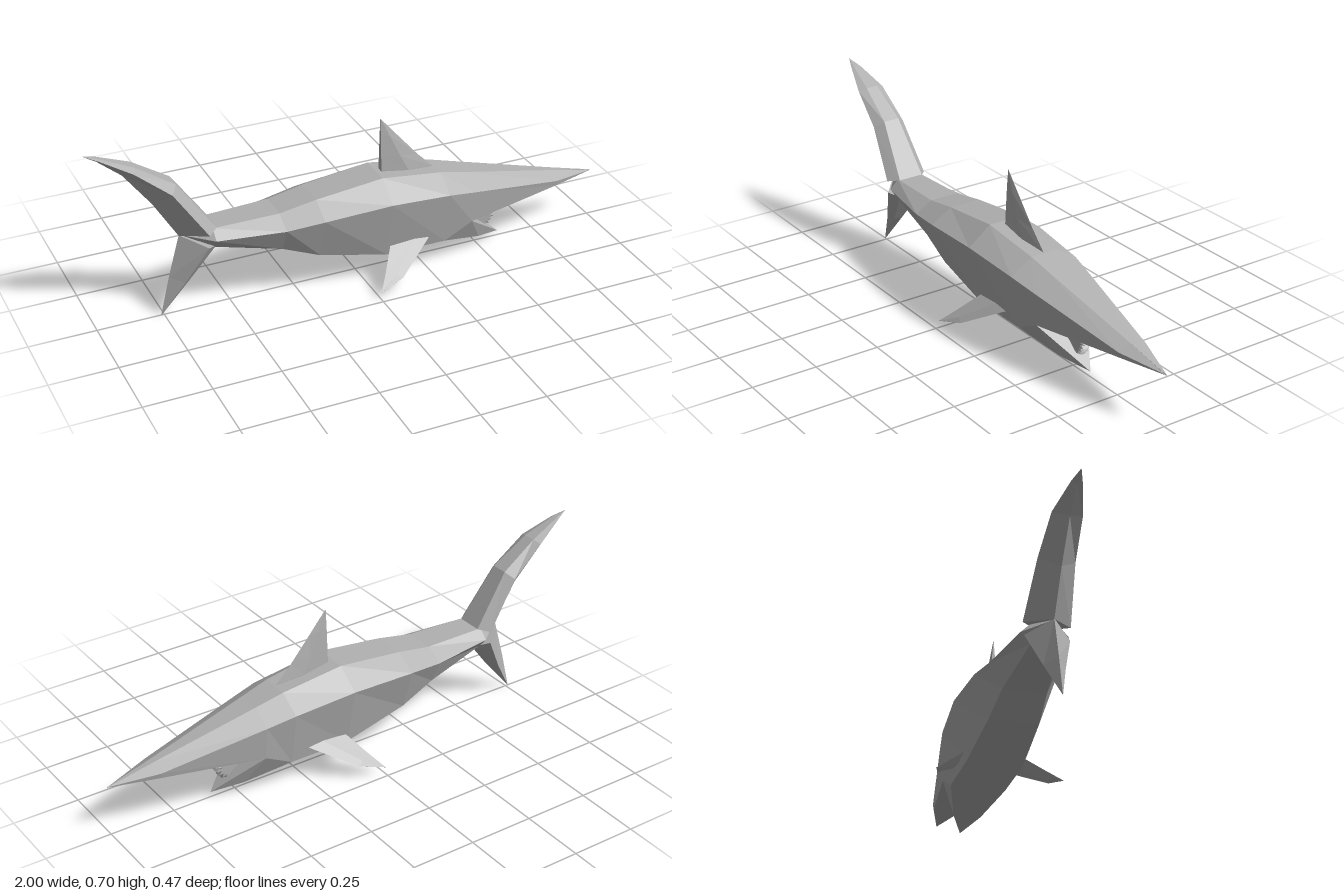
import * as THREE from 'three';
import { ConvexGeometry } from 'three/addons/geometries/ConvexGeometry.js';

// Faceted skin through equal-sized rings of [x, y, z] points, capped at both ends
function loft(rings) {
  const tris = [];
  const n = rings[0].length;
  for (let i = 0; i < rings.length - 1; i++) {
    for (let j = 0; j < n; j++) {
      const k = (j + 1) % n;
      const [a, b, c, d] = [rings[i][j], rings[i][k], rings[i + 1][k], rings[i + 1][j]];
      tris.push([a, b, c], [a, c, d]);
    }
  }
  const last = rings[rings.length - 1];
  for (let j = 1; j < n - 1; j++) {
    tris.push([rings[0][0], rings[0][j + 1], rings[0][j]], [last[0], last[j], last[j + 1]]);
  }
  // Signed volume decides the winding so faces always point outward
  const v = (p) => new THREE.Vector3(...p);
  let volume = 0;
  for (const [a, b, c] of tris) volume += v(a).dot(v(b).cross(v(c)));
  const pos = tris.flatMap(([a, b, c]) => (volume < 0 ? [a, c, b] : [a, b, c]).flat());
  const geo = new THREE.BufferGeometry();
  geo.setAttribute('position', new THREE.Float32BufferAttribute(pos, 3));
  geo.computeVertexNormals();
  return geo;
}

// Mirrors a half ring (first and last points on the centre line) to a full ring
const mirrorRing = (half) => [
  ...half,
  ...half.slice(1, -1).reverse().map(([x, y, z]) => [x, y, -z]),
];

// Tail lobe ring: broad front edge, wide flank, sharp rear edge
function lobeRing([fx, fy, rx, ry, wFront, wSide]) {
  const sx = fx + (rx - fx) * 0.3, sy = fy + (ry - fy) * 0.3;
  return mirrorRing([[fx, fy, 0], [fx, fy, wFront], [sx, sy, wSide], [rx, ry, 0]]);
}

export function createModel() {
  const model = new THREE.Group();
  const skin = new THREE.MeshStandardMaterial({ color: 0xb0b0b0, flatShading: true });
  skin.name = 'grey skin';
  const add = (name, geo) => {
    const mesh = new THREE.Mesh(geo, skin);
    mesh.name = name;
    model.add(mesh);
    return mesh;
  };

  // Body: x, top y, top width, flank y, flank width, belly y, belly width
  const sections = [
    [-0.66, 0.315, 0.005, 0.31, 0.01, 0.305, 0.005],
    [-0.57, 0.34, 0.05, 0.305, 0.085, 0.265, 0.05],
    [-0.32, 0.345, 0.058, 0.305, 0.125, 0.21, 0.08],
    [-0.18, 0.37, 0.062, 0.32, 0.145, 0.155, 0.092],
    [0.08, 0.4, 0.066, 0.332, 0.155, 0.1, 0.105],
    [0.32, 0.365, 0.055, 0.31, 0.14, 0.1, 0.105],
    [0.43, 0.337, 0.046, 0.289, 0.123, 0.16, 0.11],
    [0.82, 0.24, 0.013, 0.215, 0.058, 0.195, 0.055],
    [1, 0.196, 0.001, 0.195, 0.001, 0.194, 0.001],
  ];
  add('body', loft(sections.map(([x, ty, tw, sy, sw, by, bw]) =>
    mirrorRing([[x, ty, 0], [x, ty, tw], [x, sy, sw], [x, by, bw], [x, by, 0]]))));

  // Lower jaw
  const jaw = [[0.6, 0.02, 0]];
  for (const s of [-1, 1]) {
    jaw.push([0.43, 0.16, s * 0.11], [0.32, 0.1, s * 0.105], [0.49, 0.05, s * 0.053]);
  }
  add('lowerJaw', new ConvexGeometry(jaw.map((p) => new THREE.Vector3(...p))));

  // Toothed whorl standing in the jaw
  const wheel = new THREE.Shape();
  const teeth = 22;
  for (let i = 0; i < teeth * 2; i++) {
    const a = (i / (teeth * 2)) * Math.PI * 2;
    const r = i % 2 ? 0.053 : 0.064;
    wheel[i ? 'lineTo' : 'moveTo'](Math.cos(a) * r, Math.sin(a) * r);
  }
  wheel.closePath();
  const whorl = add('toothWhorl', new THREE.ExtrudeGeometry(wheel, {
    depth: 0.014, bevelEnabled: true, bevelThickness: 0.01, bevelSize: 0.008,
    bevelOffset: -0.008, bevelSegments: 2,
  }));
  whorl.position.set(0.515, 0.118, -0.007);

  // Dorsal fin: wedge with a flat rear face; x front, x rear, y front, y rear, half width
  add('dorsalFin', loft([
    [0.32, 0.1, 0.35, 0.35, 0.019],
    [0.315, 0.1, 0.367, 0.4, 0.018],
    [0.25, 0.1, 0.432, 0.46, 0.014],
    [0.17, 0.1, 0.525, 0.54, 0.008],
    [0.102, 0.1, 0.605, 0.605, 0.001],
  ].map(([fx, rx, fy, ry, w]) => [
    [fx, fy, 0], [(fx + rx) / 2, (fy + ry) / 2, w], [rx, ry, w * 0.7],
    [rx, ry, -w * 0.7], [(fx + rx) / 2, (fy + ry) / 2, -w],
  ])));

  // Pectoral fins: leading point, trailing point, half thickness
  for (const s of [1, -1]) {
    const ring = ([lead, trail, t]) => {
      const mid = lead.map((c, i) => c * 0.6 + trail[i] * 0.4);
      const off = (k) => [mid[0], mid[1] + k * t * 0.73, mid[2] + k * t * 0.68];
      return [lead, off(1), trail, off(-1)].map(([x, y, z]) => [x, y, z * s]);
    };
    add(s > 0 ? 'leftPectoralFin' : 'rightPectoralFin', loft([
      ring([[0.27, 0.15, 0.1], [0.1, 0.15, 0.1], 0.007]),
      ring([[0.1, 0.053, 0.207], [0.04, 0.075, 0.183], 0.004]),
      ring([[0.002, 0.028, 0.235], [0, 0.028, 0.235], 0.0005]),
    ]));
  }

  // Tail lobes: front x y, rear x y, front width, flank width
  add('upperTailLobe', loft([
    [-0.555, 0.34, -0.68, 0.31, 0.05, 0.084],
    [-0.69, 0.535, -0.77, 0.46, 0.032, 0.066],
    [-0.83, 0.628, -0.87, 0.595, 0.024, 0.054],
    [-0.95, 0.68, -0.955, 0.667, 0.01, 0.02],
    [-1, 0.696, -1, 0.695, 0.001, 0.001],
  ].map(lobeRing)));
  add('lowerTailLobe', loft([
    [-0.56, 0.268, -0.68, 0.312, 0.05, 0.08],
    [-0.655, 0.13, -0.725, 0.15, 0.018, 0.038],
    [-0.76, 0, -0.761, 0.002, 0.001, 0.001],
  ].map(lobeRing)));

  return model;
}
